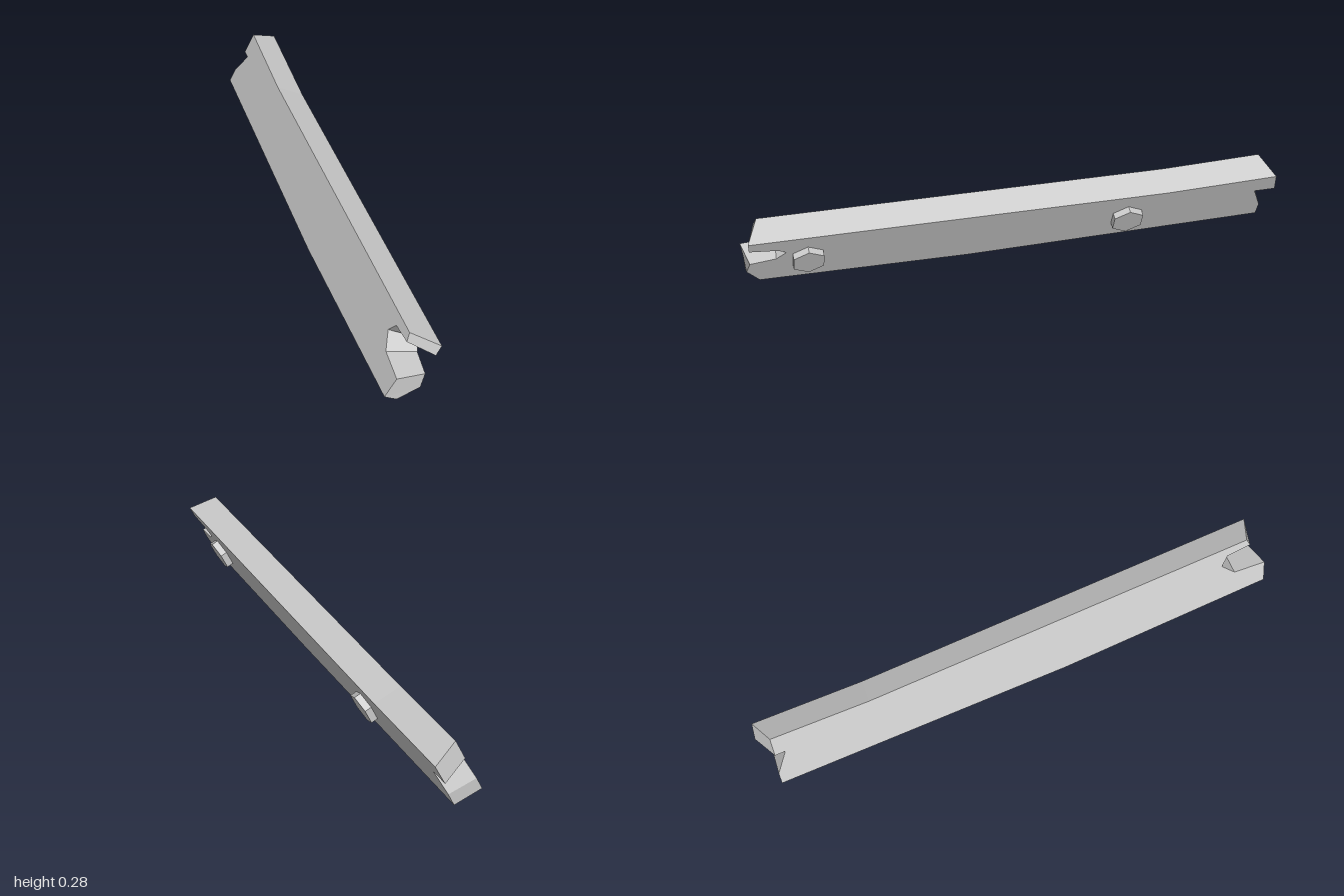
import * as THREE from 'three';

// Each corner of the beam: [z, y] on the right (+x) face, then [z, y] on the left face
const OUTLINE = [
  [1.0, 0.23, 0.945, 0.278],    // front top
  [0.995, 0.19, 0.955, 0.25],   // slot, upper lip
  [0.89, 0.177, 0.86, 0.243],
  [0.86, 0.16, 0.83, 0.205],    // slot, deepest
  [0.895, 0.13, 0.875, 0.155],
  [0.99, 0.117, 1.0, 0.143],    // slot, lower lip
  [1.0, 0.073, 0.985, 0.063],   // front of the lower prong
  [0.95, 0.015, 0.985, 0.063],  // front bottom
  [0.17, 0.0, 0.15, 0.046],     // slight bend underneath
  [-0.965, 0.02, -0.99, 0.066], // back bottom
  [-0.963, 0.075, -0.985, 0.115],
  [-0.92, 0.162, -0.927, 0.203], // back notch
  [-1.0, 0.162, -0.967, 0.203],
  [-0.985, 0.235, -0.957, 0.283], // back top
  [-0.56, 0.219, -0.58, 0.268], // slight bend on top
];
const CHAMFER = 6; // the cut corner of the lower prong starts here

// The two big faces are parallel leaning planes: x = offset + LEAN * y - TURN * z
const LEAN = 0.47, TURN = 0.112, RIGHT = -0.008, LEFT = -0.13;
const onPlane = (offset, z, y) => new THREE.Vector3(offset + LEAN * y - TURN * z, y, z);

function beamGeometry() {
  const right = OUTLINE.map(([z, y]) => onPlane(RIGHT, z, y));
  const left = OUTLINE.map(([, , z, y]) => onPlane(LEFT, z, y));
  const flat = (pts) => pts.map((p) => new THREE.Vector2(-p.z, p.y));
  const points = [], normals = [];
  const triangle = (a, b, c, n = b.clone().sub(a).cross(c.clone().sub(a)).normalize()) => {
    points.push(a, b, c);
    normals.push(n, n, n);
  };
  // a slightly twisted four-sided face is shaded with one normal
  const quad = (a, b, c, d) => {
    const n = c.clone().sub(a).cross(d.clone().sub(b)).normalize();
    triangle(a, b, c, n);
    triangle(a, c, d, n);
  };

  // broad faces
  for (const [a, b, c] of THREE.ShapeUtils.triangulateShape(flat(right), [])) triangle(right[a], right[b], right[c]);
  for (const [a, b, c] of THREE.ShapeUtils.triangulateShape(flat(left), [])) triangle(left[a], left[c], left[b]);

  // edges all round
  right.forEach((r, i) => {
    const j = (i + 1) % right.length;
    if (i !== CHAMFER) quad(r, left[i], left[j], right[j]);
  });

  // chamfered lower corner of the front prong
  const [top, bottom, outer] = [right[CHAMFER], right[CHAMFER + 1], left[CHAMFER]];
  const middle = new THREE.Vector3(-0.168, 0.04, 0.99);
  triangle(top, outer, middle);
  triangle(top, middle, bottom);
  triangle(middle, outer, bottom);

  const geometry = new THREE.BufferGeometry().setFromPoints(points);
  geometry.setAttribute('normal', new THREE.Float32BufferAttribute(normals.flatMap((n) => n.toArray()), 3));
  return geometry;
}

export function createModel() {
  const group = new THREE.Group();
  group.name = 'notchedBeam';
  const grey = new THREE.MeshStandardMaterial({ color: 0xcacaca });
  grey.name = 'lightGrey';

  const beam = new THREE.Mesh(beamGeometry(), grey);
  beam.name = 'beam';
  group.add(beam);

  // Hexagonal bolt heads standing on the right face, one corner upward
  const normal = new THREE.Vector3(1, -LEAN, TURN).normalize();
  const up = new THREE.Vector3(0, 1, 0).addScaledVector(normal, -normal.y).normalize();
  const across = new THREE.Vector3().crossVectors(normal, up);
  const basis = new THREE.Matrix4().makeBasis(across, normal, up);
  const boltGeometry = new THREE.CylinderGeometry(0.064, 0.064, 0.04, 6).toNonIndexed();
  boltGeometry.computeVertexNormals();
  [['frontBolt', 0.78, 0.118], ['backBolt', -0.423, 0.108]].forEach(([name, z, y]) => {
    const bolt = new THREE.Mesh(boltGeometry, grey);
    bolt.name = name;
    bolt.quaternion.setFromRotationMatrix(basis);
    bolt.position.copy(onPlane(RIGHT, z, y)).addScaledVector(normal, 0.006);
    group.add(bolt);
  });
  return group;
}
